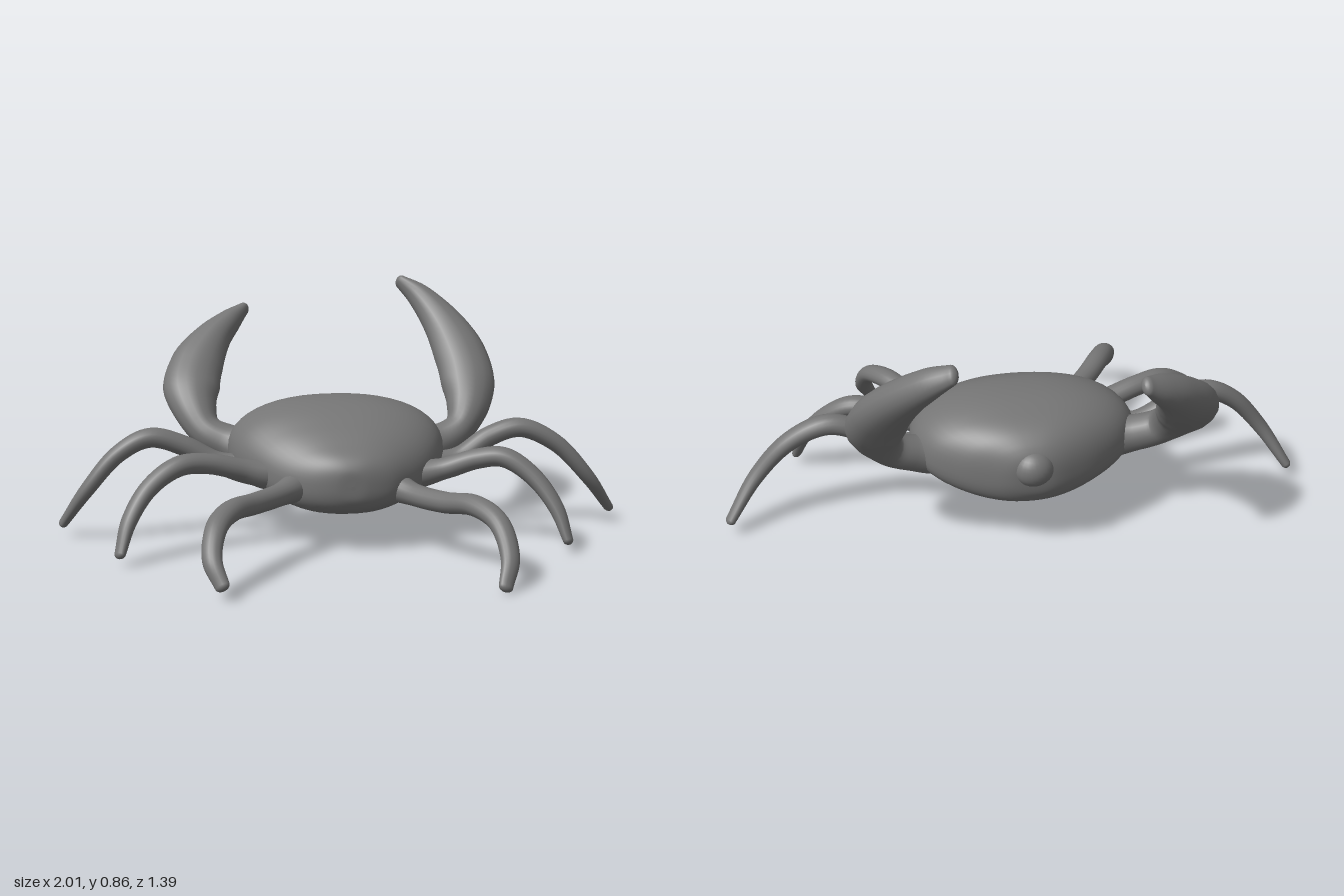
import * as THREE from 'three';

const material = new THREE.MeshStandardMaterial({ color: 0x757575 });
const V = (x, y, z) => new THREE.Vector3(x, y, z);

// Skin closed rings of points into one smooth surface
function loft(rings, name) {
  const n = rings[0].length, pos = [], index = [];
  rings.forEach(r => r.forEach(p => pos.push(p.x, p.y, p.z)));
  for (let i = 0; i < rings.length - 1; i++) {
    for (let j = 0; j < n; j++) {
      const k = (j + 1) % n, a = i * n, b = a + n;
      index.push(a + j, a + k, b + j, a + k, b + k, b + j);
    }
  }
  const g = new THREE.BufferGeometry();
  g.setAttribute('position', new THREE.Float32BufferAttribute(pos, 3));
  g.setIndex(index);
  g.computeVertexNormals();
  const mesh = new THREE.Mesh(g, material);
  mesh.name = name;
  return mesh;
}

// Limb swept along control points [x, y, z, half width, half thickness], with a rounded tip
function limb(name, points, normal, sides = 18, steps = 48) {
  const path = new THREE.CatmullRomCurve3(points.map(p => V(p[0], p[1], p[2])));
  const size = new THREE.CatmullRomCurve3(points.map(p => V(p[3], p[4], 0)));
  const rings = [];
  const addRing = (t, capAngle) => {
    const c = path.getPoint(t), s = size.getPoint(t), T = path.getTangent(t);
    const B = normal.clone().cross(T).normalize(), N = T.clone().cross(B);
    c.addScaledVector(T, Math.min(s.x, s.y) * Math.sin(capAngle));
    const k = Math.cos(capAngle), ring = [];
    for (let j = 0; j < sides; j++) {
      const a = j / sides * Math.PI * 2;
      ring.push(c.clone().addScaledVector(B, s.x * k * Math.cos(a)).addScaledVector(N, s.y * k * Math.sin(a)));
    }
    rings.push(ring);
  };
  for (let i = 0; i <= steps; i++) addRing(i / steps, 0);
  for (let i = 1; i <= 6; i++) addRing(1, i / 6 * Math.PI / 2);
  return loft(rings, name);
}

// Walking leg: thick at the hip, with a slim, flattened foot
function leg(name, centres) {
  const widths = [0.075, 0.056, 0.038, 0.036, 0.035, 0.031, 0.026, 0.017];
  const depths = [0.075, 0.058, 0.04, 0.039, 0.04, 0.037, 0.033, 0.025];
  const pts = centres.map((c, i) => [...c, widths[i], depths[i]]);
  const first = centres[0], last = centres[centres.length - 1];
  const out = V(last[0] - first[0], 0, last[2] - first[2]);
  return limb(name, pts, V(0, 1, 0).cross(out).normalize());
}

// Carapace from cross-sections [z, centre x, half width, top, bottom]
function shell() {
  const sections = [
    [0.203, 0, 0, 0.245, 0.245], [0.2, 0, 0.06, 0.295, 0.195], [0.175, 0, 0.14, 0.335, 0.155],
    [0.12, -0.01, 0.22, 0.373, 0.132], [0.03, -0.01, 0.31, 0.428, 0.143], [-0.08, -0.015, 0.37, 0.478, 0.153],
    [-0.2, -0.02, 0.382, 0.49, 0.161], [-0.3, -0.015, 0.335, 0.476, 0.168], [-0.38, -0.01, 0.24, 0.45, 0.176],
    [-0.43, -0.01, 0.145, 0.412, 0.2], [-0.455, -0.01, 0.075, 0.37, 0.243], [-0.462, -0.01, 0, 0.305, 0.305],
  ];
  const spine = new THREE.CatmullRomCurve3(sections.map(s => V(s[1], s[2], s[0])));
  const height = new THREE.CatmullRomCurve3(sections.map(s => V(s[3], s[4], s[0])));
  const rings = [], steps = 66, sides = 48;
  const round = v => Math.sign(v) * Math.abs(v) ** 0.86;
  for (let i = 0; i <= steps; i++) {
    const s = spine.getPoint(i / steps), h = height.getPoint(i / steps), ring = [];
    const mid = h.y + (h.x - h.y) * 0.44;
    for (let j = 0; j < sides; j++) {
      const a = j / sides * Math.PI * 2, up = round(Math.sin(a));
      ring.push(V(s.x - s.y * round(Math.cos(a)), mid + up * (up > 0 ? h.x - mid : mid - h.y), s.z));
    }
    rings.push(ring);
  }
  return loft(rings, 'shell');
}

export function createModel() {
  const model = new THREE.Group();
  model.name = 'crab';
  model.add(shell());

  // Small rounded face bump
  const face = new THREE.Mesh(new THREE.SphereGeometry(1, 24, 16), material);
  face.name = 'faceBump';
  face.scale.set(0.068, 0.063, 0.058);
  face.position.set(-0.01, 0.33, -0.433);
  model.add(face);

  // Raised claws, flattened across their curling plane, with blunt tips
  const clawNormal = V(0, 0.66, 0.75);
  model.add(limb('rightClaw', [
    [-0.22, 0.285, -0.18, 0.1, 0.09], [-0.32, 0.295, -0.22, 0.088, 0.078], [-0.4, 0.315, -0.25, 0.066, 0.062],
    [-0.475, 0.35, -0.28, 0.06, 0.06],
    [-0.515, 0.42, -0.34, 0.08, 0.067], [-0.525, 0.49, -0.41, 0.104, 0.074], [-0.5, 0.565, -0.49, 0.098, 0.072],
    [-0.435, 0.65, -0.575, 0.068, 0.062], [-0.37, 0.705, -0.63, 0.044, 0.05], [-0.32, 0.742, -0.667, 0.022, 0.032],
  ], clawNormal));
  model.add(limb('leftClaw', [
    [0.2, 0.28, -0.17, 0.1, 0.09], [0.29, 0.285, -0.205, 0.086, 0.078], [0.37, 0.305, -0.23, 0.064, 0.062],
    [0.445, 0.345, -0.255, 0.058, 0.06],
    [0.485, 0.42, -0.305, 0.08, 0.067], [0.495, 0.51, -0.375, 0.102, 0.074], [0.475, 0.6, -0.45, 0.098, 0.072],
    [0.425, 0.7, -0.54, 0.075, 0.063], [0.35, 0.79, -0.62, 0.046, 0.051], [0.288, 0.838, -0.664, 0.022, 0.034],
  ], clawNormal));

  // Three pairs of walking legs
  const legs = {
    rightFrontLeg: [[-0.23, 0.25, -0.1], [-0.34, 0.25, -0.103], [-0.45, 0.275, -0.11], [-0.56, 0.335, -0.108],
      [-0.68, 0.368, -0.1], [-0.79, 0.315, -0.088], [-0.9, 0.19, -0.09], [-0.987, 0.06, -0.15]],
    leftFrontLeg: [[0.21, 0.25, -0.09], [0.31, 0.245, -0.095], [0.42, 0.27, -0.11], [0.53, 0.342, -0.118],
      [0.64, 0.373, -0.113], [0.77, 0.315, -0.105], [0.89, 0.19, -0.108], [0.987, 0.06, -0.165]],
    rightMiddleLeg: [[-0.16, 0.26, -0.02], [-0.27, 0.255, 0.02], [-0.37, 0.28, 0.045], [-0.48, 0.308, 0.07],
      [-0.58, 0.31, 0.105], [-0.68, 0.25, 0.15], [-0.75, 0.15, 0.205], [-0.782, 0.05, 0.255]],
    leftMiddleLeg: [[0.14, 0.26, -0.02], [0.24, 0.245, 0.02], [0.34, 0.265, 0.045], [0.45, 0.303, 0.072],
      [0.54, 0.312, 0.1], [0.635, 0.25, 0.145], [0.705, 0.15, 0.2], [0.736, 0.05, 0.248]],
    rightBackLeg: [[-0.09, 0.245, 0], [-0.17, 0.23, 0.09], [-0.25, 0.22, 0.19], [-0.34, 0.22, 0.3],
      [-0.42, 0.228, 0.42], [-0.472, 0.2, 0.53], [-0.488, 0.12, 0.615], [-0.46, 0.052, 0.665]],
    leftBackLeg: [[0.08, 0.24, 0], [0.15, 0.22, 0.08], [0.22, 0.205, 0.18], [0.3, 0.207, 0.3],
      [0.38, 0.223, 0.42], [0.437, 0.19, 0.53], [0.455, 0.1, 0.62], [0.43, 0.024, 0.68]],
  };
  for (const [name, centres] of Object.entries(legs)) model.add(leg(name, centres));
  return model;
}
